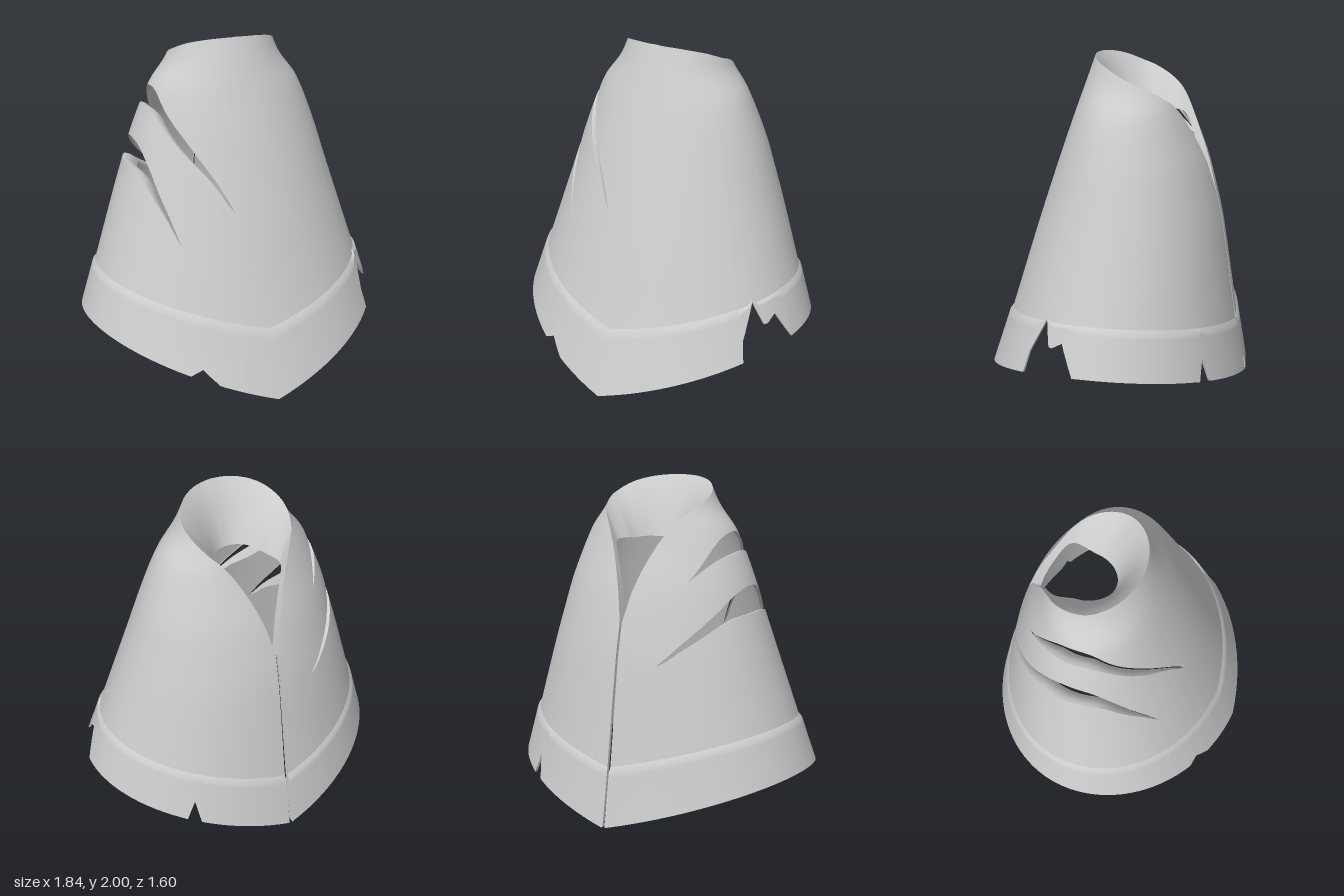
import * as THREE from 'three';
import { mergeGeometries, mergeVertices } from 'three/addons/utils/BufferGeometryUtils.js';

const RAD = Math.PI / 180;

// Smooth curve through [position, value] points
function smooth(p) {
  const n = p.length;
  const slope = (i) => {
    const a = p[Math.max(i - 1, 0)], b = p[Math.min(i + 1, n - 1)];
    return (b[1] - a[1]) / (b[0] - a[0]);
  };
  return (x) => {
    let i = 0;
    while (i < n - 2 && x > p[i + 1][0]) i++;
    const h = p[i + 1][0] - p[i][0], t = Math.min(Math.max((x - p[i][0]) / h, 0), 1);
    const t2 = t * t, t3 = t2 * t;
    return (2 * t3 - 3 * t2 + 1) * p[i][1] + (t3 - 2 * t2 + t) * h * slope(i)
      + (3 * t2 - 2 * t3) * p[i + 1][1] + (t3 - t2) * h * slope(i + 1);
  };
}

// Straight-line interpolation, for torn edges
function linear(p, x) {
  for (let i = 0; i < p.length - 1; i++) {
    const [a, b] = [p[i], p[i + 1]];
    if (x >= a[0] && x <= b[0]) return a[1] + (b[1] - a[1]) * (x - a[0]) / (b[0] - a[0]);
  }
  return null;
}

// Body outline against height: half width, front depth and back depth
const halfWidth = smooth([[0, 1.02], [0.35, 0.905], [0.6, 0.825], [0.9, 0.73], [1.2, 0.635],
  [1.45, 0.555], [1.7, 0.45], [1.82, 0.36], [1.88, 0.325], [2, 0.28]]);
const frontZ = smooth([[0, 0.79], [0.4, 0.66], [1, 0.475], [1.5, 0.31], [2, 0.135]]);
const backZ = smooth([[0, -0.795], [0.4, -0.725], [1, -0.63], [1.2, -0.585], [1.4, -0.53],
  [1.6, -0.455], [1.73, -0.41], [1.88, -0.37], [2, -0.35]]);

// Point on the cloth; degrees run from the front (0) to the back seam (180)
function cloth(deg, y, off = 0) {
  const f = frontZ(y), b = backZ(y), a = deg * RAD;
  return new THREE.Vector3(
    (halfWidth(y) + off) * Math.sin(a), y,
    (f + b) / 2 + ((f - b) / 2 + off) * Math.cos(a));
}

// Edges as heights against angle
const rimCurve = smooth([[0, 2], [30, 1.99], [60, 1.96], [90, 1.905], [104, 1.88],
  [132, 1.81], [152, 1.73], [165, 1.6], [175, 1.4], [180, 1.18]]);
const rim = (d) => rimCurve(Math.abs(d));
const tears = [
  [[54, 0.28], [54.7, 0.4], [61.4, 0.61], [66, 0.47], [68, 0.47], [73, 0.51], [81, 0.34]],
  [[140.5, 0.24], [142.5, 0.36], [146, 0.22]],
  [[-29.5, 0.175], [-25.5, 0.21], [-19.5, 0.12]],
];
function hem(d) {
  for (const t of tears) {
    const y = linear(t, d);
    if (y !== null) return y;
  }
  const s = Math.sin(Math.abs(d) * RAD);
  return Math.abs(d) < 90 ? 0.005 + 0.34 * s : 0.06 + 0.285 * s;
}
const bandTop = (d) => Math.max(0.4 + 0.22 * Math.sin(Math.abs(d) * RAD), hem(d) + 0.006);

// Two slashes on the right side; each has a lower and an upper edge
const slashes = [
  {
    from: 37, to: 161,
    low: smooth([[0, 0.74], [20, 0.78], [37, 0.88], [44, 0.99], [55, 1.11], [68, 1.22], [80, 1.25],
      [100, 1.25], [120, 1.22], [145, 1.09], [161, 0.98], [180, 0.92]]),
    high: smooth([[37, 0.88], [44, 1.02], [52, 1.14], [62, 1.27], [75, 1.37], [90, 1.4],
      [105, 1.38], [120, 1.31], [145, 1.13], [161, 0.98]]),
  },
  {
    from: 11, to: 142,
    low: smooth([[0, 1], [11, 1.05], [20, 1.19], [28, 1.28], [45, 1.42], [60, 1.52], [75, 1.58],
      [90, 1.59], [110, 1.57], [125, 1.53], [142, 1.44], [160, 1.28], [180, 1.06]]),
    high: smooth([[11, 1.05], [18, 1.19], [30, 1.35], [42, 1.47], [60, 1.6], [75, 1.68],
      [90, 1.7], [110, 1.67], [125, 1.59], [142, 1.44]]),
  },
];
const lowEdge = (s) => (d) => s.low(Math.abs(d));
const highEdge = (s) => (d) => (d < -s.from && d > -s.to
  ? Math.max(s.high(-d), s.low(-d)) : s.low(Math.abs(d)));

// Column angles: even steps plus the corners of tears and slashes
const END = 179.4;
const columns = [...Array.from({ length: 97 }, (_, i) => -END + (2 * END * i) / 96),
  ...tears.flat().map((p) => p[0]), ...slashes.flatMap((s) => [-s.from, -s.to])]
  .sort((a, b) => a - b).filter((d, i, all) => i === 0 || d - all[i - 1] > 0.05);

// Sheet between columns, with point(deg, s) for s from 0 to 1
function sheet(cols, rows, point) {
  const pos = [], index = [], w = rows + 1;
  for (const d of cols) for (let j = 0; j <= rows; j++) pos.push(...point(d, j / rows).toArray());
  for (let i = 0; i < cols.length - 1; i++) {
    for (let j = 0; j < rows; j++) {
      const a = i * w + j, b = a + w;
      index.push(a, b, b + 1, a, b + 1, a + 1);
    }
  }
  const g = new THREE.BufferGeometry();
  g.setAttribute('position', new THREE.Float32BufferAttribute(pos, 3));
  g.setIndex(index);
  return g;
}
const between = (lo, hi, rows) => sheet(columns, rows,
  (d, s) => cloth(d, THREE.MathUtils.lerp(lo(d), hi(d), s)));

export function createModel() {
  const model = new THREE.Group();
  const fabric = new THREE.MeshStandardMaterial({ color: 0xcccccc, side: THREE.DoubleSide });
  fabric.name = 'light grey fabric';
  const add = (name, geometry) => {
    geometry.computeVertexNormals();
    const mesh = new THREE.Mesh(geometry, fabric);
    mesh.name = name;
    model.add(mesh);
  };

  // Main cloth from hem to neck, joined except along the slashes
  const [a, b] = slashes;
  add('cloakBody', mergeVertices(mergeGeometries([
    between(hem, bandTop, 6),
    between(bandTop, lowEdge(a), 8),
    between(highEdge(a), lowEdge(b), 6),
    between(highEdge(b), rim, 10),
  ]), 1e-4));

  // Raised band along the torn hem
  add('hemBand', sheet(columns, 12, (d, s) =>
    cloth(d, THREE.MathUtils.lerp(hem(d), bandTop(d), s), s > 0.99 ? 0 : 0.013)));

  // Cloth thickness along the hem
  add('hemEdge', sheet(columns, 1, (d, s) => cloth(d, hem(d), 0.013 * s)));

  // Slash edges: the lower flap folds inward as a sloping ledge, the upper is a thin turn-in
  slashes.forEach((s) => {
    const cols = columns.filter((d) => d <= -s.from && d >= -s.to);
    const open = (d) => Math.min(1, Math.max(0, highEdge(s)(d) - lowEdge(s)(d)) / 0.1);
    add('slashLowerFold', sheet(cols, 4, (d, t) => {
      const p = cloth(d, lowEdge(s)(d), -0.085 * t * open(d));
      p.y -= 0.06 * t * t * open(d);
      return p;
    }));
    add('slashUpperEdge', sheet(cols, 1, (d, t) => cloth(d, highEdge(s)(d), -0.02 * (1 - t) * open(d))));
  });

  // Collar lining that folds inward from the neck rim and narrows to the seam
  add('collarLining', sheet(columns, 8, (d, s) => {
    const c = Math.cos(d * RAD), top = cloth(d, rim(d)), front = (1 + c) / 2;
    const low = new THREE.Vector3(
      top.x * (0.46 + 0.35 * Math.max(0, -c) ** 2),
      top.y - 0.03 - 0.33 * Math.sqrt(front),
      -0.03 - 0.69 * (0.135 - top.z));
    const bend = top.clone().lerp(low, 0.5);
    bend.y += 0.07 * front;
    return new THREE.QuadraticBezierCurve3(top, bend, low).getPoint(s);
  }));

  // Cloth thickness along both sides of the back seam
  [-1, 1].forEach((side) => add(side > 0 ? 'leftSeamEdge' : 'rightSeamEdge',
    sheet([0, 1], 16, (t, s) => {
      const d = side * END;
      return cloth(d, THREE.MathUtils.lerp(hem(d), rim(d), s), -0.02 * (side > 0 ? t : 1 - t));
    })));

  return model;
}
